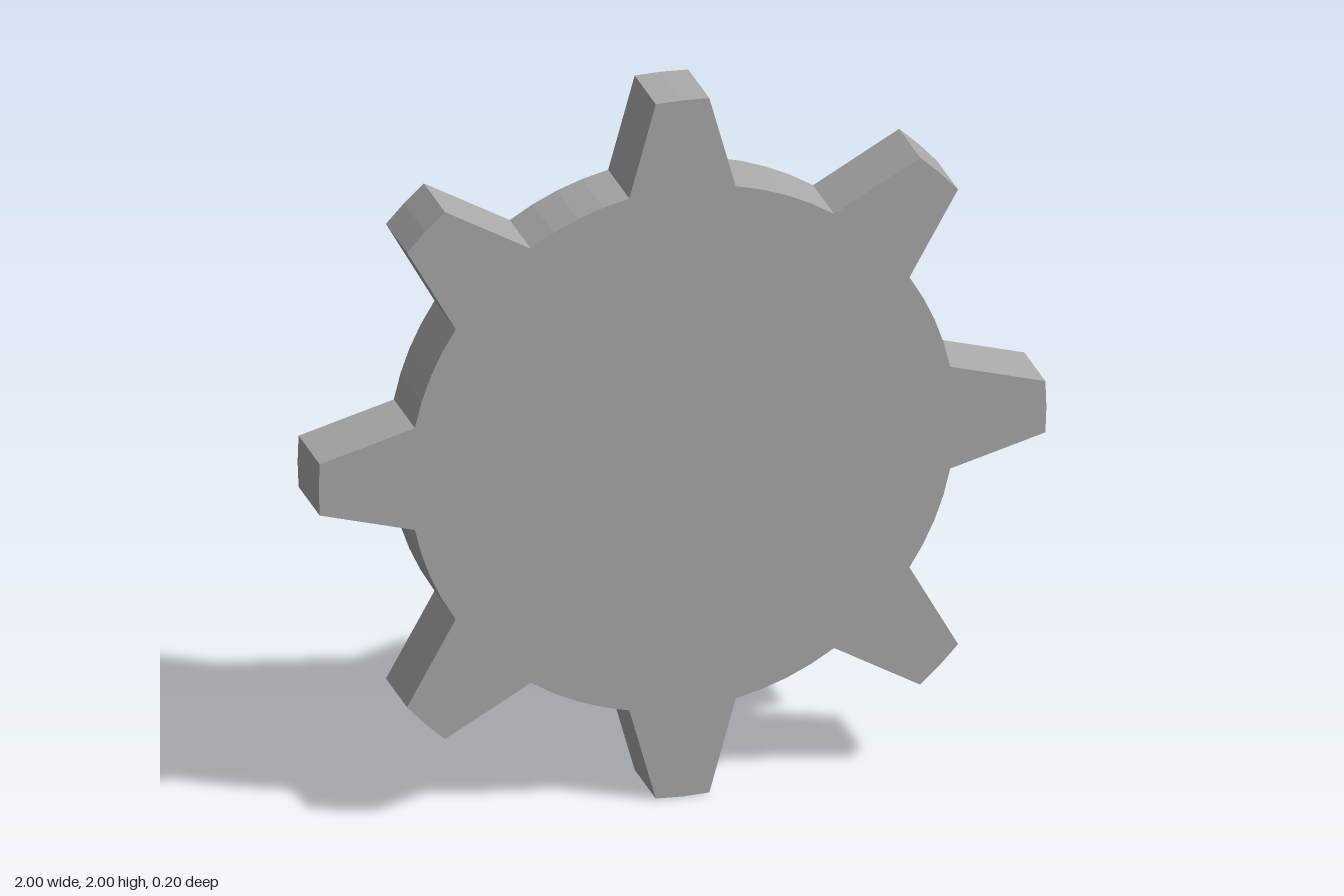
import * as THREE from 'three';

export function createModel() {
  const group = new THREE.Group();
  group.name = 'gear';
  const metal = new THREE.MeshStandardMaterial({ color: 0xaaaaaa });
  metal.name = 'grey metal';

  const teeth = 8, rootRadius = 0.75, tipRadius = 1, thickness = 0.2;
  const pitch = (Math.PI * 2) / teeth;
  const rootHalf = pitch / 4;         // half angle of a tooth at its base
  const tipHalf = pitch * 3 / 32;     // half angle of a tooth at its tip
  const points = [];
  const arc = (radius, from, to, segments) => {
    for (let i = 0; i <= segments; i++) {
      const a = from + (to - from) * i / segments;
      points.push(new THREE.Vector2(Math.cos(a) * radius, Math.sin(a) * radius));
    }
  };

  // Outline: each tapered tooth tip, then the faceted gap to the next tooth
  for (let t = 0; t < teeth; t++) {
    const mid = t * pitch;
    arc(tipRadius, mid - tipHalf, mid + tipHalf, 2);
    arc(rootRadius, mid + rootHalf, mid + pitch - rootHalf, 4);
  }

  // Solid gear plate
  const geometry = new THREE.ExtrudeGeometry(new THREE.Shape(points), {
    depth: thickness, bevelEnabled: false,
  });
  geometry.translate(0, tipRadius, -thickness / 2);
  const gear = new THREE.Mesh(geometry, metal);
  gear.name = 'toothedDisc';
  group.add(gear);
  return group;
}
